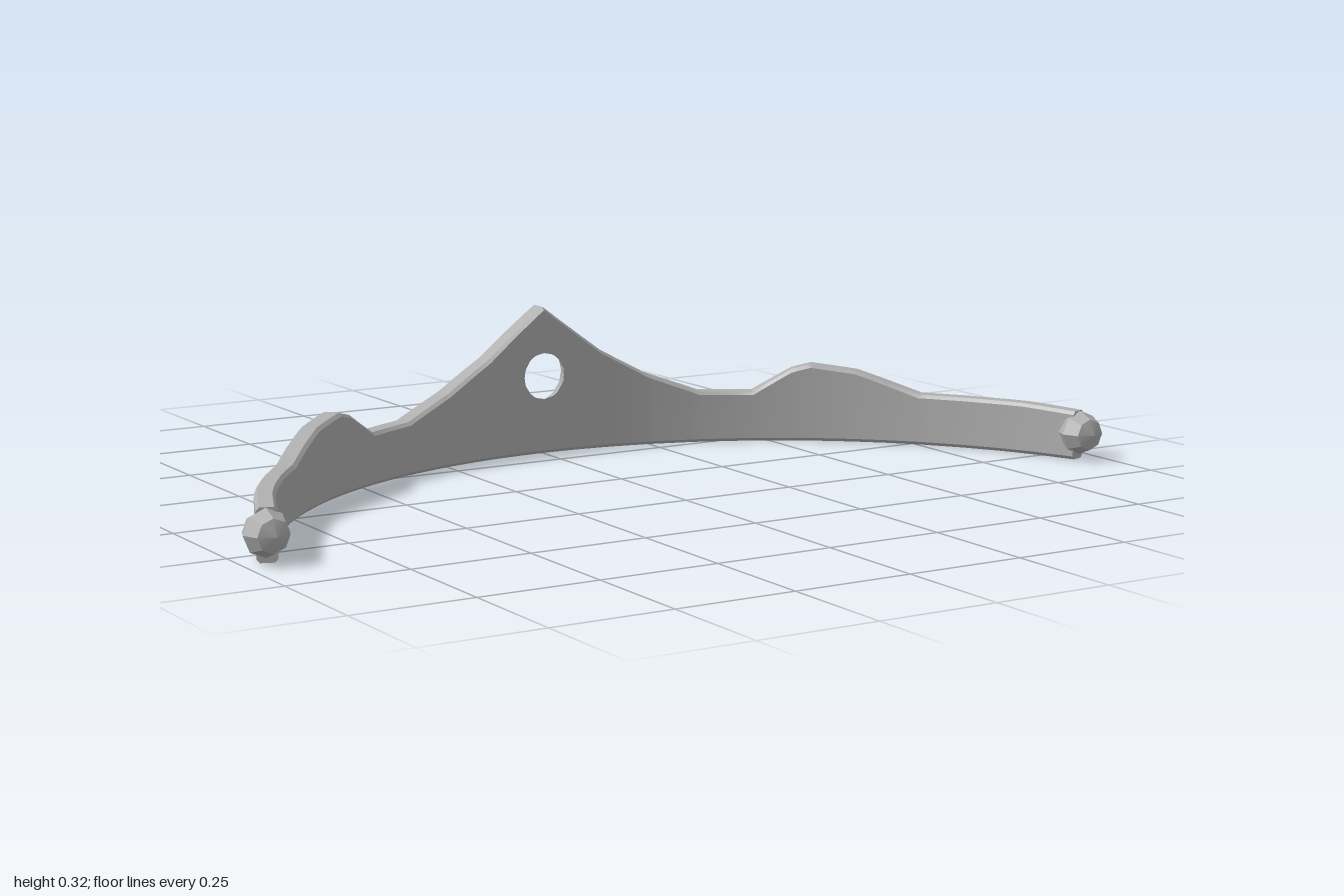
import * as THREE from 'three';
import { toCreasedNormals } from 'three/addons/utils/BufferGeometryUtils.js';

const R = 1.011, CZ = 0.666;                       // plan arc radius and its centre
const arc = x => Math.asin(x / R) * R;             // x to distance along the arc
const END = arc(0.95);
const half = s => 0.025 - 0.005 * Math.abs(s) / END; // half thickness of the band

// Point on the bent band: distance, height, depth (-1 inner face, +1 outer face)
function bend(s, y, d) {
  const r = R + d * half(s), a = s / R;
  return [Math.sin(a) * r, y, CZ - Math.cos(a) * r];
}

// Upper outline, mirrored about the middle
const outline = [[0, 0.32], [0.14, 0.217], [0.25, 0.157], [0.365, 0.113], [0.475, 0.11],
  [0.55, 0.16], [0.585, 0.171], [0.665, 0.158], [0.765, 0.111], [0.9, 0.11], [0.95, 0.104]]
  .map(([x, y]) => [arc(x), y]);
function topAt(s) {
  s = Math.min(Math.abs(s), END);
  const i = Math.max(1, outline.findIndex(p => p[0] >= s - 1e-9));
  const [a, b] = [outline[i - 1], outline[i]];
  return a[1] + (b[1] - a[1]) * (s - a[0]) / (b[0] - a[0]);
}

// Openings: centre, height, radius on the inner and on the outer face
const SIDE = arc(0.6);
const holes = [
  { s: 0, y: 0.17, inner: 0.05, outer: 0.068 },
  { s: SIDE, y: 0.123, inner: 0, outer: 0.042 },
  { s: -SIDE, y: 0.123, inner: 0, outer: 0.042 },
];

function geometryFrom(pos) {
  const g = new THREE.BufferGeometry();
  g.setAttribute('position', new THREE.Float32BufferAttribute(pos, 3));
  return toCreasedNormals(g, 0.5);
}
const quad = (pos, a, b, c, d) => pos.push(...a, ...b, ...c, ...a, ...c, ...d);

function bandGeometry() {
  // Columns follow the outline corners, the hole edges and an even spacing
  let cols = [];
  for (const [s] of outline) cols.push(s, -s);
  for (let i = -14; i <= 14; i++) cols.push(END * i / 14);
  for (const h of holes) for (const r of [h.inner, h.outer])
    for (let k = 0; k <= 8; k++) cols.push(h.s + r * Math.cos(Math.PI * k / 8));
  cols = cols.sort((a, b) => a - b).filter((s, i, all) => !i || s - all[i - 1] > 1e-5);

  const c = 0.007;
  const section = s => {
    const t = topAt(s);
    return [[c, -1], [t - c, -1], [t, -0.7], [t, 0.7], [t - c, 1], [c, 1], [0, 0.7], [0, -0.7]];
  };
  const pos = [];
  for (let i = 0; i + 1 < cols.length; i++) {
    const s0 = cols[i], s1 = cols[i + 1], A = section(s0), B = section(s1);
    const strip = (a0, a1, b0, b1) => quad(pos, bend(s0, ...a0), bend(s1, ...b0), bend(s1, ...b1), bend(s0, ...a1));
    for (let k = 0; k < 8; k++) {
      const n = (k + 1) % 8, key = k === 0 ? 'inner' : 'outer', d = k === 0 ? -1 : 1;
      const hole = (k === 0 || k === 4) && holes.find(h => Math.abs((s0 + s1) / 2 - h.s) < h[key]);
      if (!hole) { strip(A[k], A[n], B[k], B[n]); continue; }
      // Leave the opening between a piece on either side of it
      const rise = s => Math.sqrt(Math.max(0, hole[key] ** 2 - (s - hole.s) ** 2));
      const e0 = rise(s0), e1 = rise(s1), dir = k === 0 ? 1 : -1;
      strip(A[k], [hole.y - dir * e0, d], B[k], [hole.y - dir * e1, d]);
      strip([hole.y + dir * e0, d], A[n], [hole.y + dir * e1, d], B[n]);
    }
  }
  // End caps
  for (const s of [-END, END]) {
    const loop = section(s).map(p => bend(s, ...p));
    for (let k = 1; k < 7; k++)
      pos.push(...loop[0], ...(s > 0 ? [...loop[k + 1], ...loop[k]] : [...loop[k], ...loop[k + 1]]));
  }
  return geometryFrom(pos);
}

// Lining of an opening through rings given as [radius, depth], inner ring first
function liningGeometry(h, rings, sides) {
  const pos = [];
  const at = (k, [r, d]) => {
    const t = 2 * Math.PI * k / sides;
    return bend(h.s + r * Math.cos(t), h.y + r * Math.sin(t), d);
  };
  for (let i = 0; i + 1 < rings.length; i++) for (let k = 0; k < sides; k++)
    quad(pos, at(k, rings[i]), at(k + 1, rings[i]), at(k + 1, rings[i + 1]), at(k, rings[i + 1]));
  return geometryFrom(pos);
}

export function createModel() {
  const group = new THREE.Group();
  const grey = new THREE.MeshStandardMaterial({ color: 0xb0b0b0 });
  grey.name = 'grey metal';
  const add = (name, geometry) => {
    const mesh = new THREE.Mesh(geometry, grey);
    mesh.name = name;
    group.add(mesh);
    return mesh;
  };

  add('band', bandGeometry());
  add('centreHole', liningGeometry(holes[0], [[0.05, -1], [0.068, 1]], 16));
  add('leftSocket', liningGeometry(holes[1], [[0.001, -0.6], [0.03, -0.1], [0.042, 1]], 16));
  add('rightSocket', liningGeometry(holes[2], [[0.001, -0.6], [0.03, -0.1], [0.042, 1]], 16));

  // Faceted knobs on the two tips
  for (const side of [1, -1]) {
    const ball = toCreasedNormals(new THREE.SphereGeometry(0.047, 8, 4), 0.5);
    const knob = add(side > 0 ? 'leftKnob' : 'rightKnob', ball);
    knob.rotation.x = Math.PI / 2;
    knob.position.set(side * 0.953, 0.057, 0.323);
  }
  return group;
}
